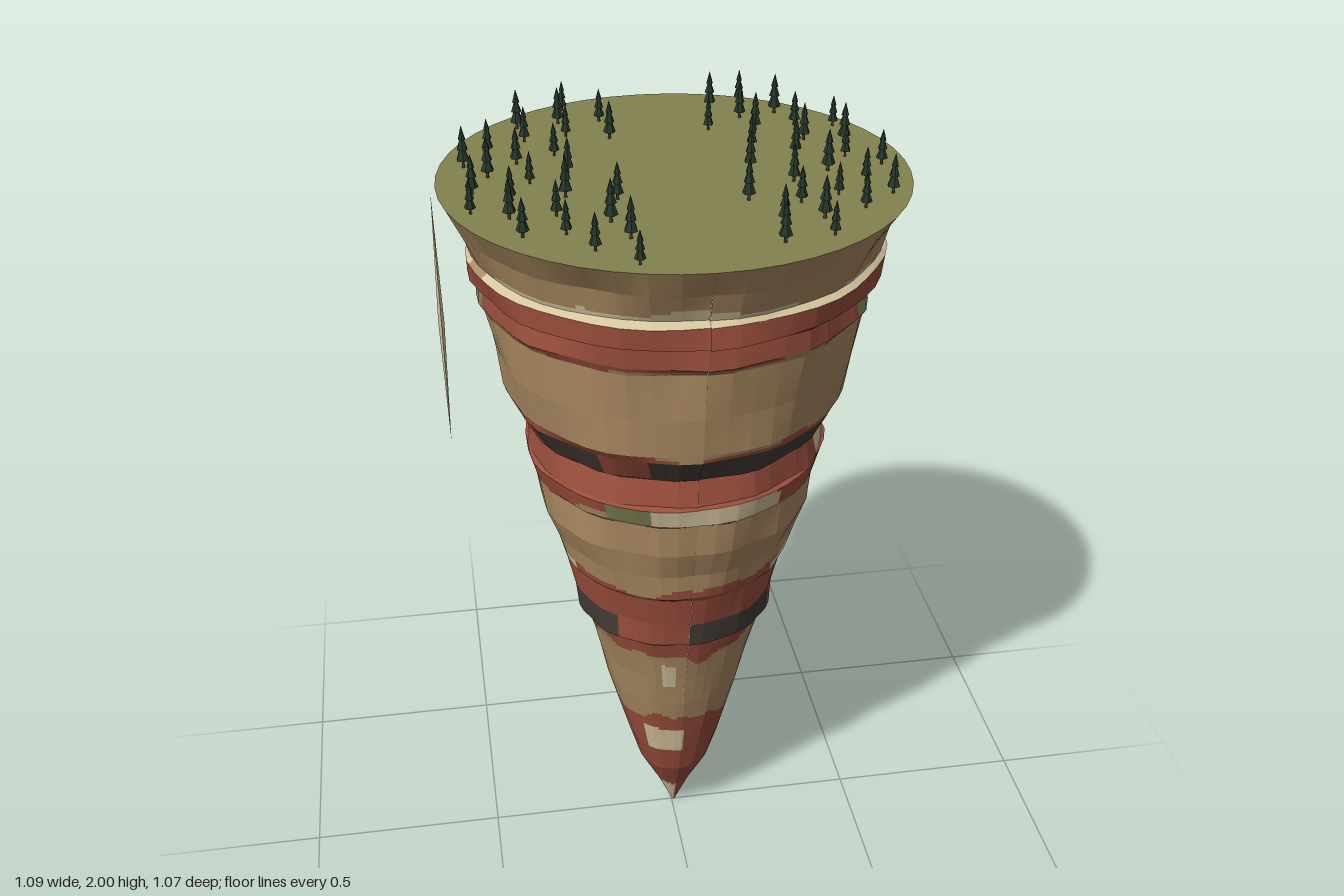
import * as THREE from 'three';

const mat = (name, color, side = THREE.FrontSide) => {
  const m = new THREE.MeshStandardMaterial({ color, side });
  m.name = name;
  return m;
};

// Rock outline from tip to rim: [height, radius]
const PROFILE = [
  [0, 0.003], [0.1, 0.045], [0.2, 0.096], [0.3, 0.125], [0.4, 0.15], [0.5, 0.176], [0.6, 0.198], [0.68, 0.218],
  [0.74, 0.236], [0.75, 0.25], [0.82, 0.258], [0.91, 0.278], [0.925, 0.29], [1.0, 0.306], [1.08, 0.335],
  [1.17, 0.346], [1.18, 0.355], [1.23, 0.368], [1.235, 0.36], [1.3, 0.348], [1.31, 0.362], [1.38, 0.402],
  [1.4, 0.41], [1.5, 0.425], [1.62, 0.442], [1.64, 0.456], [1.69, 0.454], [1.7, 0.478], [1.75, 0.482],
  [1.76, 0.466], [1.83, 0.494], [1.9, 0.535],
];
const COLUMNS = 48, SPLIT = 3, STEP = 0.01, TOP = 1.9;

// Colour indices
const TAN = 0, RED = 1, CREAM = 2, DARK = 3, GREEN = 4;

// Patches: [colour, low, high, start angle, end angle], angle 0 = front, 90 = +x
const PATCHES = [
  [DARK, 0.74, 0.82, 1, 62], [DARK, 0.74, 0.82, 83, 148], [DARK, 0.74, 0.82, 205, 317],
  [DARK, 1.31, 1.38, 295, 324], [DARK, 1.31, 1.38, -18, 56], [DARK, 1.31, 1.38, 99, 172],
  [DARK, 1.31, 1.38, 190, 233], [DARK, 0.2, 0.29, 57, 90], [DARK, 0.17, 0.22, 222, 245],
  [CREAM, 0.29, 0.39, -42, 2], [CREAM, 0.57, 0.66, -17, -8], [CREAM, 0, 0.1, -60, 0],
  [CREAM, 0.29, 0.38, 155, 195], [CREAM, 0.68, 0.74, 68, 90], [CREAM, 0.91, 0.95, 45, 90],
  [CREAM, 0.91, 0.95, 235, 295], [CREAM, 1.235, 1.3, 63, 90], [GREEN, 1.18, 1.23, -34, -18],
  [CREAM, 1.18, 1.23, -18, 34], [GREEN, 1.18, 1.23, 107, 122], [CREAM, 1.18, 1.23, 122, 140],
  [CREAM, 1.18, 1.23, 150, 195], [GREEN, 1.64, 1.69, 54, 64], [TAN, 1.64, 1.69, 65, 98],
  [GREEN, 1.64, 1.69, 270, 280],
];

// Tree positions on the plateau: x, z pairs in hundredths
const TREES = [
  -20, -45, -22, -36, -12, -36, -32, -34, -31, -25, -21, -27, -11, -24, -40, -19, -46, -11, -34, -11, -25, -15,
  -41, -4, -23, -4, -32, 1, -45, 5, -37, 10, -25, 10, -14, 13, -46, 16, -38, 20, -28, 20, -17, 25, -36, 30,
  -27, 30, -14, 34, -22, 39, -14, 47, 16, -41, 24, -44, 31, -35, 22, -33, 13, -26, 24, -24, 34, -26, 43, -24,
  34, -16, 21, -13, 43, -13, 30, -7, 41, -4, 18, 0, 48, 2, 35, 4, 26, 9, 42, 11, 14, 18, 25, 21, 34, 18, 46, 19,
  38, 26, 28, 30, 19, 31, 28, 39, 17, 41,
];

// Periodic wobble around the rock, about -1 to 1
const wave = (a, s) =>
  0.45 * Math.sin(3 * a + s * 2.1) + 0.3 * Math.sin(7 * a + s * 4.7) + 0.25 * Math.sin(13 * a + s * 1.3);

function rockColour(y, a) {
  const deg = (a * 180) / Math.PI;
  for (const [colour, low, high, from, to] of PATCHES) {
    const inside = (deg - from + 720) % 360 < to - from;
    // cream patches get ragged upper edges
    const rag = colour === CREAM ? 0.012 * wave(a, low * 9) : 0;
    if (inside && y > low && y < high + rag) return colour;
  }
  if (y < 0.43 + 0.025 * wave(a, 1)) return RED;
  if (y < 0.69 + 0.03 * wave(a, 2)) return TAN;
  if (y < 0.945 + 0.025 * wave(a, 3)) return RED;
  if (y < 1.19 + 0.025 * wave(a, 4)) return TAN;
  if (y < 1.395 + 0.015 * wave(a, 5)) return RED;
  if (y < 1.63 + 0.015 * wave(a, 6)) return TAN;
  if (y < 1.755) return RED;
  return y < 1.77 + 0.02 * wave(a, 7) ? CREAM : TAN;
}

// Point on the faceted rock at profile row i, facet column j
function knot(i, j) {
  const [y, r] = PROFILE[i];
  const a = ((j % COLUMNS) / COLUMNS) * Math.PI * 2;
  const rough = y === TOP ? 0 : 0.018 * wave(a, i * 0.6) + 0.008 * Math.sin(j * 17.3 + Math.floor(i / 3));
  const rr = r * (1 + rough);
  return new THREE.Vector3(rr * Math.sin(a), y, rr * Math.cos(a));
}

// Rock strata: facets cut into small cells, each sorted by its colour
function strataGeometry() {
  const buckets = [[], [], [], [], []];
  for (let i = 0; i < PROFILE.length - 1; i++) {
    const rows = Math.ceil((PROFILE[i + 1][0] - PROFILE[i][0]) / STEP - 1e-6);
    for (let j = 0; j < COLUMNS; j++) {
      const k00 = knot(i, j), k01 = knot(i, j + 1), k10 = knot(i + 1, j), k11 = knot(i + 1, j + 1);
      const at = (u, v) => k00.clone().lerp(k01, u).lerp(k10.clone().lerp(k11, u), v);
      for (let s = 0; s < SPLIT; s++) {
        for (let t = 0; t < rows; t++) {
          const u0 = s / SPLIT, u1 = (s + 1) / SPLIT, v0 = t / rows, v1 = (t + 1) / rows;
          const a = at(u0, v0), b = at(u1, v0), c = at(u1, v1), d = at(u0, v1);
          const angle = ((j + (s + 0.5) / SPLIT) / COLUMNS) * Math.PI * 2;
          const bucket = buckets[rockColour((a.y + c.y) / 2, angle)];
          for (const p of [a, b, c, a, c, d]) bucket.push(p.x, p.y, p.z);
        }
      }
    }
  }
  const geo = new THREE.BufferGeometry();
  geo.setAttribute('position', new THREE.Float32BufferAttribute(buckets.flat(), 3));
  let start = 0;
  buckets.forEach((b, m) => {
    geo.addGroup(start, b.length / 3, m);
    start += b.length / 3;
  });
  geo.computeVertexNormals();
  return geo;
}

export function createModel() {
  const model = new THREE.Group();
  model.name = 'floatingRock';
  const cream = mat('paleStone', 0xd6c6a0);
  const rockMats = [
    mat('tanStone', 0xad8c63), mat('redStone', 0x9c4f3d), cream,
    mat('darkHollow', 0x453d37), mat('mossGreen', 0x7f8656),
  ];
  const grass = mat('grass', 0x83824f);
  const needles = mat('needles', 0x24352a);
  const bark = mat('bark', 0x4a3626);

  const add = (parent, name, geo, material, x = 0, y = 0, z = 0) => {
    const mesh = new THREE.Mesh(geo, material);
    mesh.name = name;
    mesh.position.set(x, y, z);
    parent.add(mesh);
    return mesh;
  };

  add(model, 'rockStrata', strataGeometry(), rockMats, 0.005);
  const disc = new THREE.CircleGeometry(0.535, COLUMNS).rotateX(-Math.PI / 2);
  add(model, 'grassTop', disc, grass, 0.005, TOP);

  // Thin pale shard hanging beside the rim
  const shard = new THREE.OctahedronGeometry(1).scale(0.007, 0.32, 0.025);
  shard.computeVertexNormals();
  add(model, 'hangingShard', shard, cream, -0.54, 1.57);

  // Conifers: a short trunk and three stacked six-sided cones
  const trunk = new THREE.CylinderGeometry(0.003, 0.004, 0.025, 6);
  const tiers = [[0.016, 0.045, 0.04], [0.013, 0.038, 0.062], [0.009, 0.032, 0.082]].map(([r, h, y]) =>
    [new THREE.ConeGeometry(r, h, 6).toNonIndexed(), y]);
  tiers.forEach(([g]) => g.computeVertexNormals());
  for (let i = 0; i < TREES.length; i += 2) {
    const tree = new THREE.Group();
    tree.name = 'conifer';
    add(tree, 'trunk', trunk, bark, 0, 0.0125);
    for (const [geo, y] of tiers) add(tree, 'foliage', geo, needles, 0, y);
    tree.position.set(TREES[i] / 100, TOP, TREES[i + 1] / 100);
    tree.rotation.y = i * 1.7;
    tree.scale.setScalar(0.76 + 0.26 * ((i * 0.309) % 1));
    model.add(tree);
  }
  return model;
}
